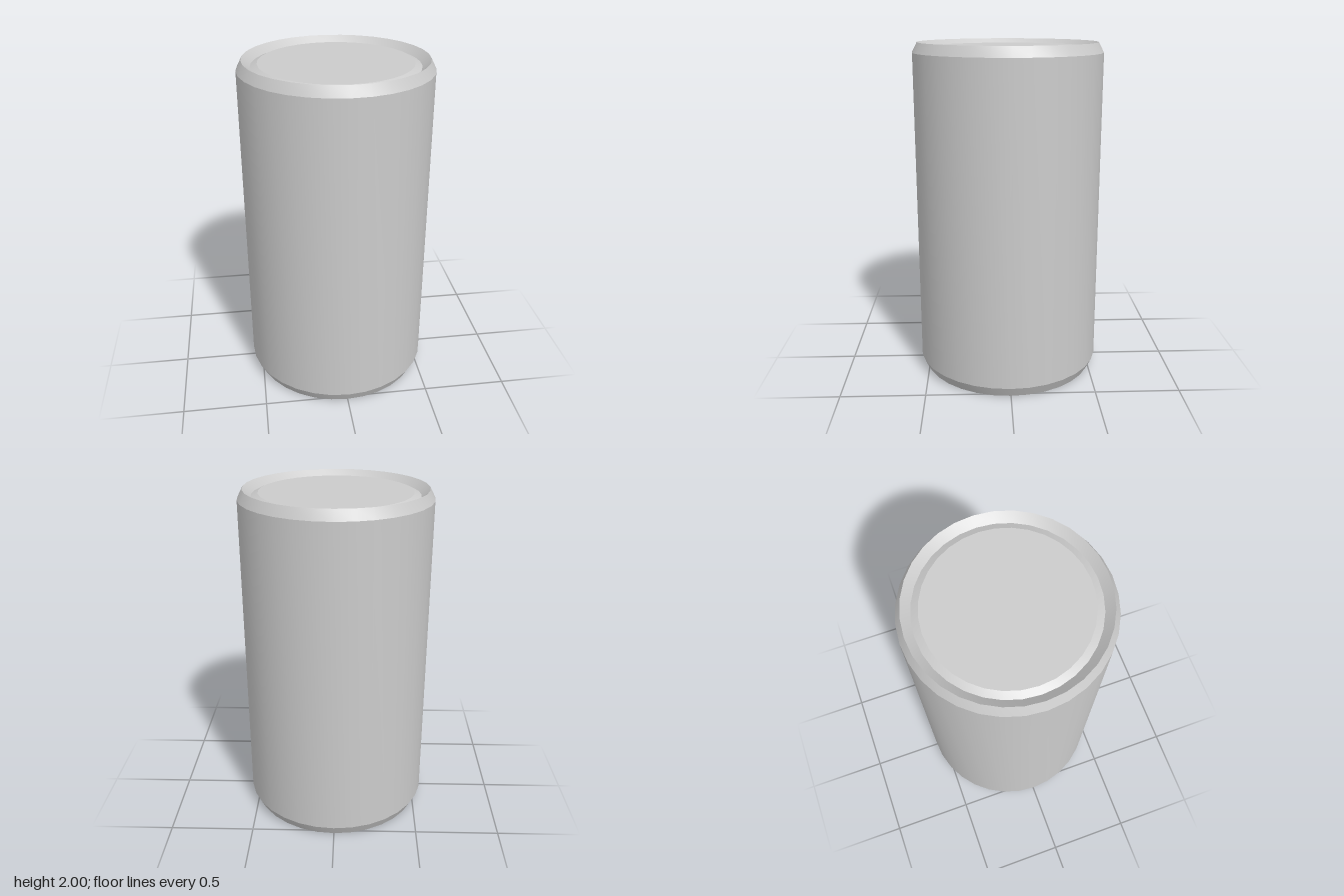
import * as THREE from 'three';
import { toCreasedNormals } from 'three/addons/utils/BufferGeometryUtils.js';

const SEGMENTS = 32;

// Revolve a bottom-to-top [radius, height] profile, smooth around, sharp at the bevels
function revolve(name, profile, material) {
  const points = profile.map(([r, y]) => new THREE.Vector2(r, y));
  const geometry = toCreasedNormals(new THREE.LatheGeometry(points, SEGMENTS), 0.35);
  const mesh = new THREE.Mesh(geometry, material);
  mesh.name = name;
  return mesh;
}

export function createModel() {
  const group = new THREE.Group();
  group.name = 'can';
  const material = new THREE.MeshStandardMaterial({ color: 0xcccccc });

  // Base, straight wall with bevelled ends, and the rim sloping inwards
  group.add(revolve('body', [
    [0, 0], [0.525, 0], [0.557, 0.063], [0.557, 1.942], [0.527, 2], [0.479, 1.958],
  ], material));

  // Slightly raised lid inside the rim
  group.add(revolve('lid', [[0.479, 1.958], [0.44, 1.976], [0, 1.976]], material));

  return group;
}
